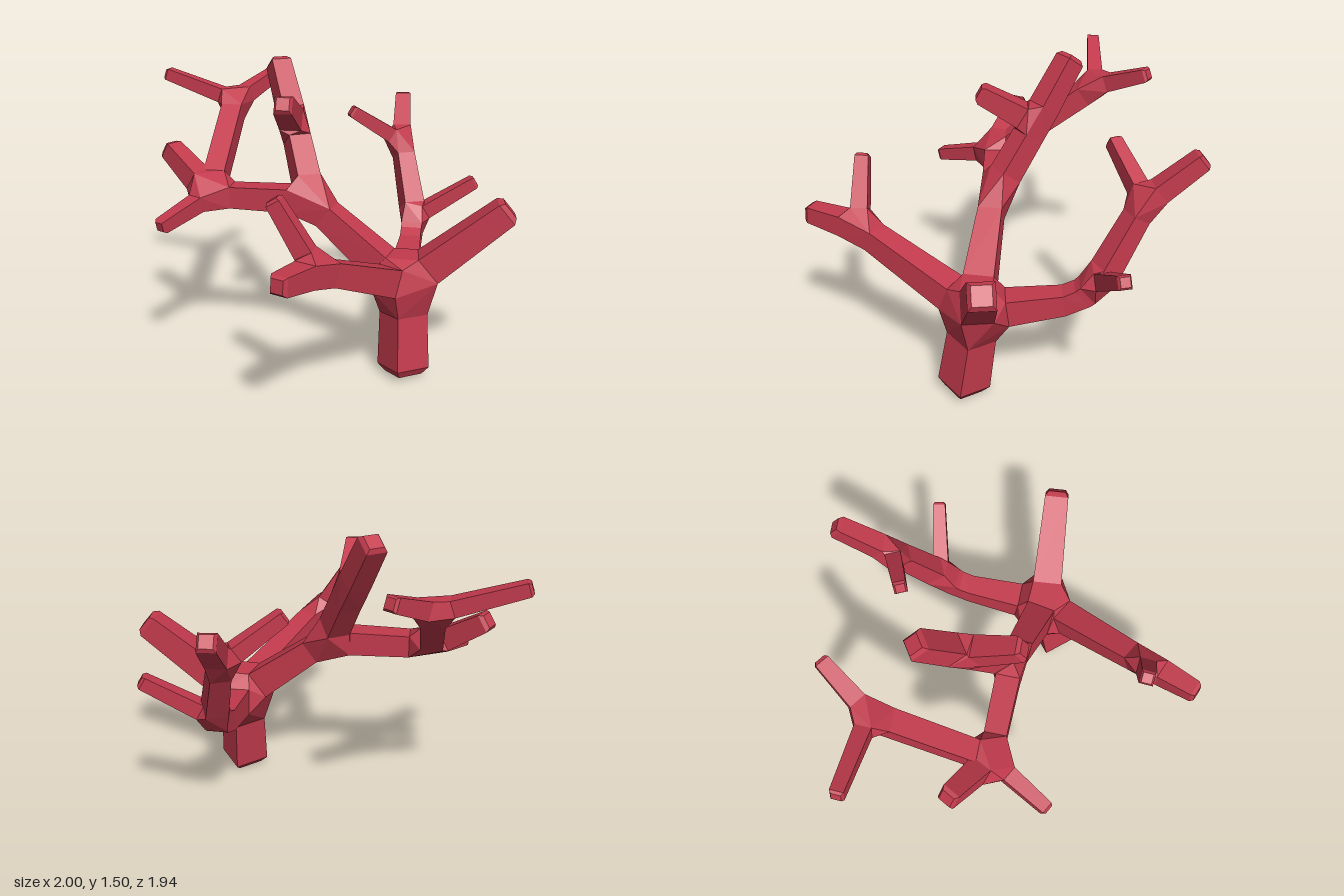
import * as THREE from 'three';
import { ConvexGeometry } from 'three/addons/geometries/ConvexGeometry.js';

// name: [parent, position, half width, joint reach]
const NODES = {
  trunkBase: [null, [0.505, 0.0, 0.135], 0.092, 0],
  crown: ['trunkBase', [0.48, 0.45, 0.07], 0.085, 0.15],
  // thick right-hand limb
  sideLimbTip: ['crown', [0.96, 0.855, -0.03], 0.061, 0],
  // limb reaching forward
  frontFork: ['crown', [0.22, 0.72, 0.68], 0.055, 0.09],
  frontLimbTip: ['frontFork', [0.14, 0.75, 0.96], 0.043, 0],
  frontTwigTip: ['frontFork', [0.03, 1.03, 0.69], 0.034, 0],
  // limb reaching back
  backBend: ['crown', [0.42, 0.51, -0.39], 0.054, 0.05],
  backFork: ['backBend', [0.41, 0.61, -0.5], 0.055, 0.07],
  backTwigTip: ['backFork', [0.72, 0.81, -0.61], 0.032, 0],
  backUpperFork: ['backFork', [0.29, 0.98, -0.69], 0.048, 0.08],
  backUpperTip: ['backUpperFork', [0.24, 1.19, -0.94], 0.042, 0],
  backUpperTwigTip: ['backUpperFork', [0.04, 1.17, -0.53], 0.032, 0],
  // long arching limb
  archFork: ['crown', [-0.01, 0.83, 0.04], 0.06, 0.11],
  tallFork: ['archFork', [-0.16, 1.16, -0.15], 0.057, 0.08],
  tallTip: ['tallFork', [-0.3, 1.46, -0.31], 0.052, 0],
  tallTwigTip: ['tallFork', [-0.12, 1.32, 0.13], 0.045, 0],
  archEndFork: ['archFork', [-0.52, 0.83, 0.1], 0.055, 0.11],
  outerTwigTip: ['archEndFork', [-0.8, 1.03, -0.01], 0.045, 0],
  lowTwigTip: ['archEndFork', [-0.65, 0.745, 0.43], 0.032, 0],
  leanFork: ['archEndFork', [-0.59, 1.21, -0.43], 0.055, 0.085],
  leanLongTip: ['leanFork', [-0.99, 1.345, -0.4], 0.031, 0],
  leanBackTip: ['leanFork', [-0.45, 1.33, -0.7], 0.034, 0],
};

// four corners of a square section across direction d
function ring(center, d, h, isTrunk) {
  const ref = isTrunk ? new THREE.Vector3(1, 0, 1) : new THREE.Vector3(0, 1, 0);
  const u = new THREE.Vector3().crossVectors(d, ref).normalize();
  const v = new THREE.Vector3().crossVectors(d, u);
  return [[1, 1], [-1, 1], [-1, -1], [1, -1]].map(([a, b]) =>
    center.clone().addScaledVector(u, a * h).addScaledVector(v, b * h));
}

// convex skin round several rings, left open where a neighbour joins
function skin(rings, openRings) {
  const hull = new ConvexGeometry(rings.flat());
  const p = hull.attributes.position;
  const q = new THREE.Vector3();
  const kept = [];
  for (let i = 0; i < p.count; i += 3) {
    const tri = [0, 1, 2].map((k) => q.fromBufferAttribute(p, i + k).clone());
    const internal = openRings.some((r) =>
      tri.every((t) => r.some((c) => c.distanceTo(t) < 1e-4)));
    if (!internal) tri.forEach((t) => kept.push(t));
  }
  const geometry = new THREE.BufferGeometry().setFromPoints(kept);
  geometry.computeVertexNormals();
  return geometry;
}

export function createModel() {
  const group = new THREE.Group();
  group.name = 'branchingCoral';
  const material = new THREE.MeshStandardMaterial({ color: 0xc23a4c, flatShading: true });
  const add = (name, geometry) => {
    const mesh = new THREE.Mesh(geometry, material);
    mesh.name = name;
    group.add(mesh);
  };

  const nodes = {};
  for (const [name, [parent, pos, h, reach]] of Object.entries(NODES)) {
    nodes[name] = { parent, pos: new THREE.Vector3(...pos), h, reach, rings: [] };
  }

  // end of a stem: ring for the stem, plus a small chamfered cap on free ends
  const stemEnd = (name, node, d, h, isTrunk) => {
    const inset = node.reach || h * 0.4;
    const r = ring(node.pos.clone().addScaledVector(d, inset), d, h, isTrunk);
    if (node.reach) node.rings.push(r);
    else add(name + 'Cap', skin([r, ring(node.pos, d, h * 0.72, isTrunk)], [r]));
    return r;
  };

  // tapered stems
  for (const [name, node] of Object.entries(nodes)) {
    if (!node.parent) continue;
    const from = nodes[node.parent];
    const isTrunk = node.parent === 'trunkBase';
    const d = node.pos.clone().sub(from.pos).normalize();
    const startH = Math.min(from.h, node.h * 1.25);
    const a = stemEnd(node.parent, from, d, startH, isTrunk);
    const b = stemEnd(name, node, d.clone().negate(), node.h, isTrunk);
    add(name + 'Stem', skin([a, b], [a, b]));
  }

  // faceted joints where stems meet
  for (const [name, node] of Object.entries(nodes)) {
    if (node.rings.length > 1) add(name + 'Joint', skin(node.rings, node.rings));
  }
  return group;
}
